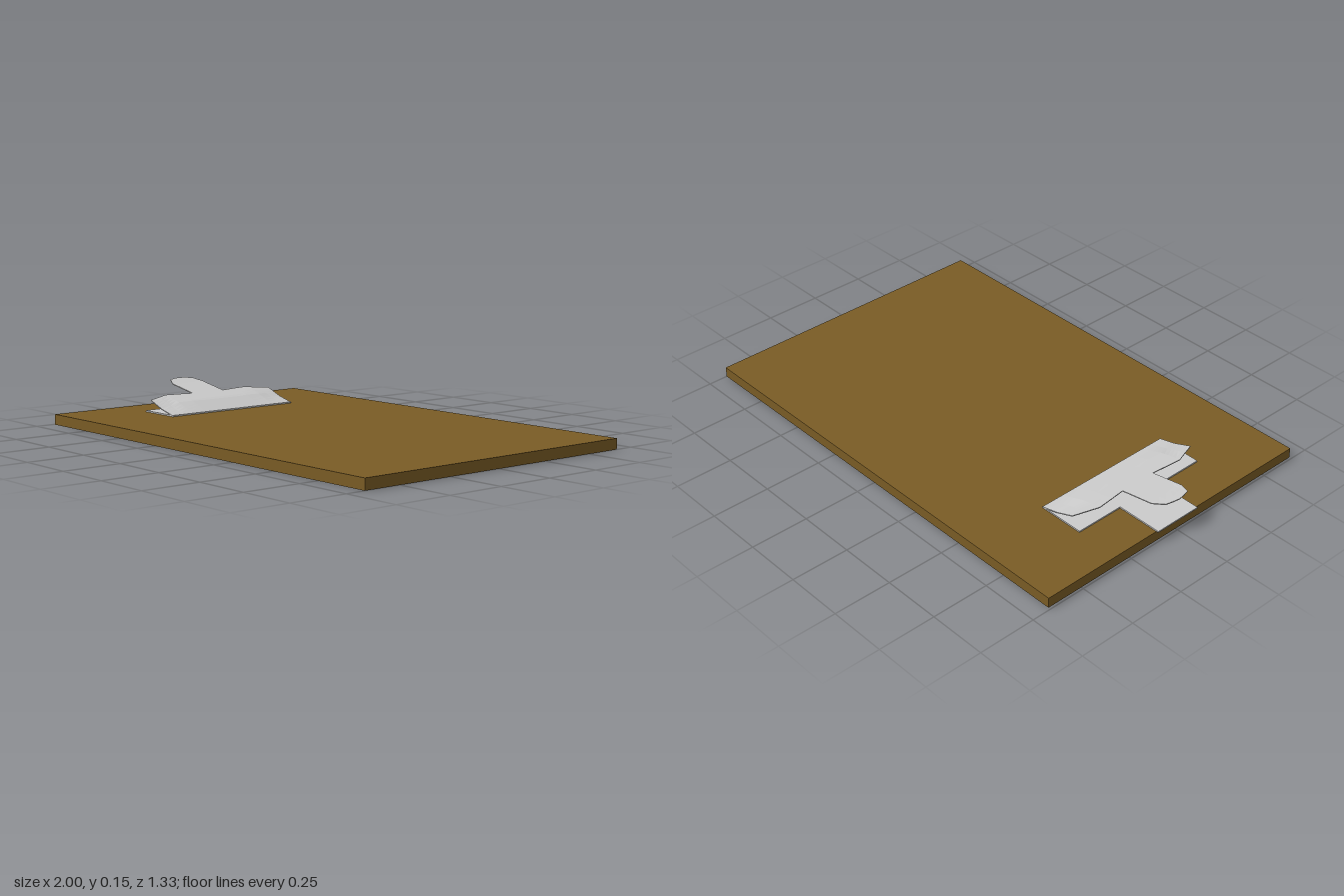
import * as THREE from 'three';

const brown = new THREE.MeshStandardMaterial({ color: 0x7a5c25 });
const grey = new THREE.MeshStandardMaterial({ color: 0xcccccc, flatShading: true, side: THREE.DoubleSide });

// piecewise-linear lookup in a list of [input, output] pairs (ascending input)
function lerpTable(table, v) {
  for (let i = 1; i < table.length; i++) {
    const [a, p] = table[i - 1], [b, q] = table[i];
    if (v <= b) return p + (q - p) * THREE.MathUtils.clamp((v - a) / (b - a), 0, 1);
  }
  return table[table.length - 1][1];
}

// height of the bent sheet along x, at its middle and at the tips of the jaw
const midProfile = [[-1, 0.15], [-0.93, 0.133], [-0.8, 0.11], [-0.7, 0.09], [-0.67, 0.078], [-0.6, 0.05]];
const tipProfile = [[-0.8, 0.107], [-0.76, 0.101], [-0.68, 0.07], [-0.6, 0.05]];
function sheetHeight(x, z) {
  const t = THREE.MathUtils.smoothstep(Math.abs(z), 0.18, 0.325);
  return THREE.MathUtils.lerp(lerpTable(midProfile, x), lerpTable(tipProfile, x), t);
}

// thin sheet from cross-sections [z, back x], all starting at frontX
function bentSheet(name, sections, frontX, steps) {
  const thickness = 0.004, positions = [], index = [];
  const ring = 2 * (steps + 1);
  for (const [z, backX] of sections) {
    const top = [], bottom = [];
    for (let i = 0; i <= steps; i++) {
      const x = frontX + (backX - frontX) * i / steps, y = sheetHeight(x, z);
      top.push([x, y, z]);
      bottom.unshift([x, y - thickness, z]);
    }
    positions.push(...top.flat(), ...bottom.flat());
  }
  for (let s = 0; s < sections.length - 1; s++) {
    for (let i = 0; i < ring; i++) {
      const a = s * ring + i, b = s * ring + (i + 1) % ring;
      index.push(a, a + ring, b, b, a + ring, b + ring);
    }
  }
  // end caps
  const last = (sections.length - 1) * ring;
  for (let i = 0; i < steps; i++) {
    const j = ring - 1 - i;
    index.push(i, i + 1, j, i + 1, j - 1, j);
    index.push(last + i, last + j, last + i + 1, last + i + 1, last + j, last + j - 1);
  }
  const geometry = new THREE.BufferGeometry();
  geometry.setAttribute('position', new THREE.Float32BufferAttribute(positions, 3));
  geometry.setIndex(index);
  const flat = geometry.toNonIndexed();
  flat.computeVertexNormals();
  const mesh = new THREE.Mesh(flat, grey);
  mesh.name = name;
  return mesh;
}

// mirror a half outline (z from 0 outwards) to both sides
function mirrored(half) {
  const other = half.filter(([z]) => z > 0).map(([z, x]) => [-z, x]).reverse();
  return [...other, ...half];
}

export function createModel() {
  const model = new THREE.Group();
  model.name = 'clipboard';

  // board
  const board = new THREE.Mesh(new THREE.BoxGeometry(1.99, 0.045, 1.33), brown);
  board.name = 'board';
  board.position.set(0.005, 0.0225, 0);
  model.add(board);

  const clip = new THREE.Group();
  clip.name = 'clip';
  model.add(clip);

  // T-shaped base plate lying on the board
  const outline = [[-0.6, -0.325], [-0.6, 0.325], [-0.8, 0.325], [-0.8, 0.108],
    [-1, 0.108], [-1, -0.108], [-0.8, -0.108], [-0.8, -0.325]];
  const shape = new THREE.Shape(outline.map(([x, z]) => new THREE.Vector2(x, -z)));
  const plateGeometry = new THREE.ExtrudeGeometry(shape, { depth: 0.006, bevelEnabled: false });
  plateGeometry.rotateX(-Math.PI / 2);
  const plate = new THREE.Mesh(plateGeometry, grey);
  plate.name = 'basePlate';
  plate.position.y = 0.045;
  clip.add(plate);

  // raised jaw and the thumb tab behind it
  const jaw = mirrored([[0, -0.785], [0.083, -0.785], [0.15, -0.793], [0.22, -0.8], [0.27, -0.78], [0.325, -0.76]]);
  clip.add(bentSheet('jaw', jaw, -0.6, 10));
  const tab = mirrored([[0, -1], [0.03, -0.994], [0.06, -0.985], [0.083, -0.935]]);
  clip.add(bentSheet('thumbTab', tab, -0.785, 6));

  return model;
}
